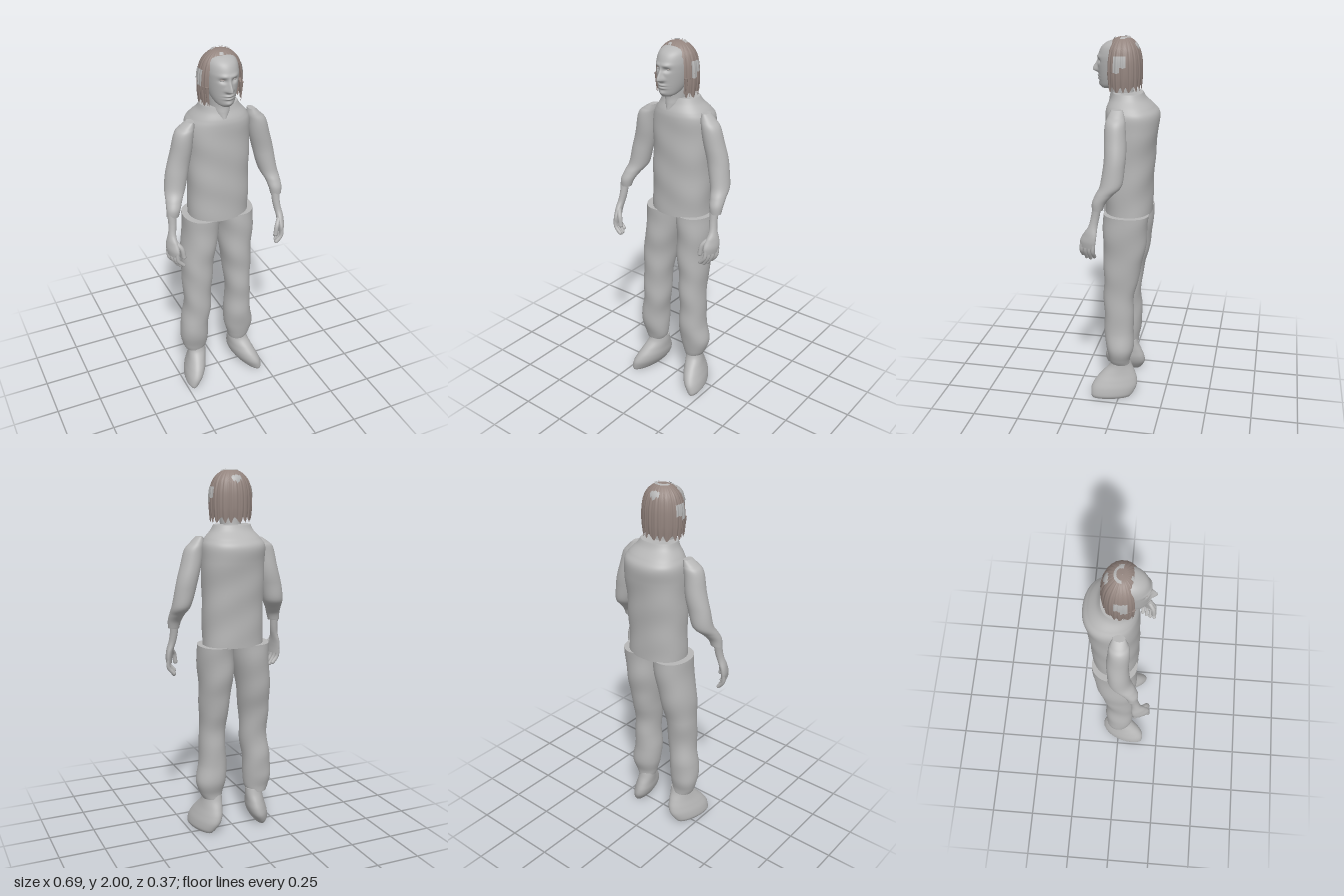
import * as THREE from 'three';
import { ParametricGeometry } from 'three/addons/geometries/ParametricGeometry.js';
import { mergeGeometries } from 'three/addons/utils/BufferGeometryUtils.js';

const TAU = Math.PI * 2;
const gauss = (d, w) => Math.exp(-(d * d) / (w * w));

// Catmull-Rom blend along a list of rows
function sample(rows, t) {
  const f = t * (rows.length - 1), i = Math.min(Math.floor(f), rows.length - 2), k = f - i;
  const at = (n) => rows[Math.max(0, Math.min(rows.length - 1, n))];
  const [a, b, c, d] = [at(i - 1), at(i), at(i + 1), at(i + 2)];
  return b.map((q, n) => q + 0.5 * k * (c[n] - a[n] + k * (2 * a[n] - 5 * q + 4 * c[n] - d[n] + k * (3 * (q - c[n]) + d[n] - a[n]))));
}

// Smooth closed form through horizontal sections [y, cx, cz, rx, rz], listed upwards
function loft(rows, { nu = 40, nv = 40, power = 2, shape = null } = {}) {
  const point = (u, v, out, scale = 1) => {
    const [y, cx, cz, rx, rz] = sample(rows, v), a = u * TAU;
    const s = Math.sin(a), c = Math.cos(a), e = 2 / power;
    out.set(cx + scale * rx * Math.sign(s) * Math.abs(s) ** e, y, cz + scale * rz * Math.sign(c) * Math.abs(c) ** e);
    if (shape) shape(out, a);
  };
  return mergeGeometries([
    new ParametricGeometry((u, v, o) => point(u, v, o), nu, nv),
    new ParametricGeometry((u, v, o) => point(u, 1, o, 1 - 0.99 * v), nu, 2),
    new ParametricGeometry((u, v, o) => point(u, 0, o, 0.01 + 0.99 * v), nu, 2),
  ]);
}

// Shallow folds in cloth
const folds = (amp) => (p) => {
  p.z += amp * Math.sin(p.y * 31 + p.x * 14);
  p.x += amp * Math.sin(p.y * 27 + p.z * 11);
};

// Brow, eye sockets, nose, lips and chin pushed out of the front of the head
function face(p, a) {
  const front = Math.max(0, Math.cos(a)), x = Math.abs(p.x);
  const nose = p.y > 1.828 ? gauss(p.y - 1.828, 0.038) : gauss(p.y - 1.828, 0.01);
  const w = 0.009 + 0.008 * gauss(p.y - 1.828, 0.02);
  p.z += front * (0.032 * nose * gauss(x, w)
    - 0.014 * gauss(x - 0.03, 0.016) * gauss(p.y - 1.877, 0.011)
    + 0.006 * gauss(x - 0.028, 0.025) * gauss(p.y - 1.9, 0.01)
    + 0.008 * gauss(x, 0.024) * (gauss(p.y - 1.8, 0.006) + gauss(p.y - 1.785, 0.006))
    + 0.008 * gauss(x, 0.02) * gauss(p.y - 1.758, 0.012));
}

// Hair profile rows: [radius scale, y], crown to hem
const HAIR = [[0.01, 2.0], [0.35, 1.994], [0.62, 1.975], [0.83, 1.945], [0.95, 1.905], [1, 1.86], [1, 1.8], [0.95, 1.745]];
function hairPoint(angle, v, out, lift = 0) {
  const [s, y] = sample(HAIR, v);
  const strand = 1 + 0.012 * Math.sin(angle * 23) + 0.008 * Math.sin(angle * 41 + 1);
  const hem = v ** 6 * 0.014 * Math.sin(angle * 17 + Math.sin(angle * 7));
  const r = s * strand + lift / 0.11;
  out.set(0.006 + 0.115 * r * Math.sin(angle), y + hem + lift * (1 - s) * 2, 0.006 + 0.098 * r * Math.cos(angle));
}
// Hair is open over the face; the parting widens below the hairline
const opening = (v) => 0.85 * THREE.MathUtils.smoothstep(v, 0.29, 0.5);

const ARMS = {
  left: [[1.17, 0.304, 0.082, 0.03, 0.028], [1.21, 0.302, 0.075, 0.036, 0.036], [1.25, 0.297, 0.05, 0.041, 0.045],
    [1.3, 0.285, 0.015, 0.05, 0.056], [1.4, 0.262, 0.003, 0.056, 0.055], [1.5, 0.236, 0.004, 0.056, 0.056],
    [1.59, 0.217, 0.006, 0.05, 0.052], [1.63, 0.196, 0.006, 0.036, 0.042], [1.66, 0.182, 0.006, 0.018, 0.03]],
  right: [[1.17, -0.295, 0.082, 0.032, 0.028], [1.21, -0.287, 0.075, 0.038, 0.036], [1.25, -0.272, 0.05, 0.045, 0.045],
    [1.3, -0.25, 0.015, 0.056, 0.056], [1.4, -0.23, 0.003, 0.06, 0.055], [1.5, -0.207, 0.004, 0.056, 0.056],
    [1.59, -0.19, 0.006, 0.05, 0.052], [1.62, -0.174, 0.006, 0.038, 0.042], [1.645, -0.156, 0.006, 0.018, 0.03]],
};
const LEGS = {
  left: [[0.195, 0.125, 0, 0.052, 0.054], [0.23, 0.128, 0.004, 0.066, 0.06], [0.3, 0.126, 0.004, 0.084, 0.076],
    [0.4, 0.118, 0.008, 0.077, 0.082], [0.5, 0.116, 0.01, 0.071, 0.081], [0.6, 0.116, 0.01, 0.07, 0.084],
    [0.7, 0.112, 0, 0.076, 0.093], [0.8, 0.108, -0.01, 0.083, 0.105], [0.92, 0.108, -0.02, 0.092, 0.116], [1.085, 0.108, -0.027, 0.098, 0.122]],
  right: [[0.195, -0.15, 0, 0.056, 0.054], [0.23, -0.152, 0.004, 0.07, 0.06], [0.3, -0.158, 0.004, 0.08, 0.076],
    [0.4, -0.15, 0.008, 0.078, 0.082], [0.5, -0.138, 0.01, 0.077, 0.081], [0.6, -0.133, 0.01, 0.078, 0.084],
    [0.7, -0.13, 0, 0.083, 0.093], [0.8, -0.125, -0.01, 0.09, 0.105], [0.92, -0.106, -0.02, 0.094, 0.116], [1.085, -0.09, -0.027, 0.1, 0.122]],
};

export function createModel() {
  const grey = new THREE.MeshStandardMaterial({ color: 0xb6b6b6, name: 'grey', side: THREE.DoubleSide });
  const brown = new THREE.MeshStandardMaterial({ color: 0x94857f, name: 'hairBrown', side: THREE.DoubleSide });
  const model = new THREE.Group();
  model.name = 'standingFigure';
  const add = (name, geometry, material = grey, parent = model) => {
    const mesh = new THREE.Mesh(geometry, material);
    mesh.name = name;
    parent.add(mesh);
    return mesh;
  };

  // Shirt body
  add('torso', loft([[1.08, 0.01, -0.028, 0.166, 0.127], [1.2, 0.01, -0.028, 0.166, 0.127], [1.4, 0.012, -0.035, 0.167, 0.131],
    [1.53, 0.013, -0.042, 0.17, 0.136], [1.61, 0.014, -0.046, 0.168, 0.138], [1.65, 0.014, -0.037, 0.148, 0.122],
    [1.69, 0.01, -0.025, 0.115, 0.092], [1.72, 0.007, -0.02, 0.1, 0.078]], { nu: 64, nv: 60, power: 2.25, shape: folds(0.0018) }));

  // Neck and head
  add('neck', loft([[1.66, 0, 0.02, 0.03, 0.065], [1.69, 0.002, 0.014, 0.05, 0.065], [1.73, 0.002, 0.014, 0.056, 0.06], [1.8, 0.002, 0.02, 0.058, 0.065]]));
  add('head', loft([[1.738, 0.002, 0.09, 0.026, 0.026], [1.752, 0.002, 0.07, 0.046, 0.056], [1.78, 0.002, 0.047, 0.061, 0.085],
    [1.82, 0.003, 0.036, 0.071, 0.1], [1.87, 0.004, 0.031, 0.078, 0.108], [1.91, 0.004, 0.027, 0.081, 0.108],
    [1.95, 0.004, 0.021, 0.075, 0.096], [1.975, 0.004, 0.014, 0.056, 0.068], [1.988, 0.004, 0.01, 0.02, 0.025]],
  { nu: 128, nv: 100, shape: face }));
  for (const side of [-1, 1]) {
    const eye = add('eye', new THREE.SphereGeometry(0.01, 16, 12));
    eye.position.set(0.002 + side * 0.03, 1.877, 0.113);
    eye.scale.set(1.2, 0.6, 1);
    const lash = add('eyelash', new THREE.BoxGeometry(0.024, 0.003, 0.006), brown);
    lash.position.set(0.002 + side * 0.03, 1.884, 0.121);
    lash.rotation.y = side * 0.3;
    const ear = add('ear', new THREE.SphereGeometry(0.03, 16, 12));
    ear.position.set(0.004 + side * 0.085, 1.865, 0.01);
    ear.scale.set(0.4, 1.1, 0.75);
  }

  // Hair shell with bare patches over the ears and on the crown
  add('hair', new ParametricGeometry((u, v, out) => {
    const w = 1 - v, gap = opening(w);
    hairPoint(gap + u * (TAU - 2 * gap), w, out);
  }, 120, 48), brown);
  const patch = (name, a0, a1, v0, v1) => add(name, new ParametricGeometry((u, v, out) =>
    hairPoint(a0 + u * (a1 - a0), v1 + v * (v0 - v1), out, 0.003), 20, 10));
  for (const side of [-1, 1]) {
    const at = side * Math.PI / 2;
    patch('sidePatch', at - 0.33, at + 0.33, 0.54, 0.72);
    patch('sidePatchCorner', at + (side > 0 ? -0.33 : 0), at + (side > 0 ? 0 : 0.33), 0.72, 0.78);
  }
  patch('crownPatch', 1.9, 4.7, 0.1, 0.15);
  patch('crownPatchEnd', 1.4, 2.0, 0.09, 0.18);
  patch('crownPatchFront', 5.9, 6.25, 0.17, 0.24);

  // Hair locks hanging beside the jaw
  for (const side of [-1, 1]) for (let i = 0; i < 3; i++) {
    const lock = add('hairLock', new THREE.ConeGeometry(0.011, 0.1, 8), brown);
    lock.position.set(0.006 + side * (0.092 + 0.006 * i), 1.785, 0.062 - i * 0.02);
    lock.rotation.x = Math.PI;
  }

  for (const [name, s] of [['left', 1], ['right', -1]]) {
    // Sleeve and trouser leg
    add(name + 'Sleeve', loft(ARMS[name], { nv: 50, shape: folds(0.0015) }));
    add(name + 'TrouserLeg', loft(LEGS[name], { nv: 60, power: 2.15, shape: folds(0.0025) }));

    // Shoe, toed outwards and leaning to the outer edge
    const dx = s > 0 ? 0 : -0.012;
    add(name + 'Shoe', loft([[0, 0.176, 0.045, 0.036, 0.105], [0.02, 0.172, 0.04, 0.05, 0.116], [0.06, 0.158, 0.031, 0.06, 0.125],
      [0.1, 0.146, 0.022, 0.06, 0.114], [0.14, 0.138, 0.012, 0.055, 0.09], [0.18, 0.132, 0.002, 0.052, 0.062], [0.215, 0.13, 0, 0.05, 0.05]]
      .map(([y, x, ...r]) => [y, s * x + dx, ...r]), {
      shape: (p) => { p.x += s * 0.22 * (p.z - 0.03); },
    }));

    // Forearm and hand
    const hand = new THREE.Group();
    hand.name = name + 'Hand';
    hand.scale.x = s;
    model.add(hand);
    add('palm', loft([[0.965, 0.322, 0.135, 0.016, 0.04], [1.0, 0.322, 0.132, 0.02, 0.044], [1.04, 0.316, 0.12, 0.021, 0.036],
      [1.08, 0.309, 0.106, 0.02, 0.024], [1.13, 0.302, 0.095, 0.021, 0.022], [1.19, 0.3, 0.085, 0.024, 0.023]], {
      shape: (p) => { p.x -= 0.35 * (p.z - 0.12) * THREE.MathUtils.smoothstep(1.1 - p.y, 0, 0.08); },
    }), grey, hand);
    const finger = (label, points, r) => {
      const path = new THREE.CatmullRomCurve3(points.map((p) => new THREE.Vector3(...p)));
      add(label, new THREE.TubeGeometry(path, 12, r, 10), grey, hand);
      add(label + 'Tip', new THREE.SphereGeometry(r, 10, 8), grey, hand).position.copy(path.getPoint(1));
    };
    for (let i = 0; i < 4; i++) {
      const x = 0.334 - 0.009 * i, z = 0.1 + 0.022 * i, tip = 0.91 - 0.012 * Math.sin(i * 1.1);
      finger('finger', [[x, 0.99, z], [x - 0.004, 0.945, z + 0.004], [x - 0.032, tip, z + 0.003]], 0.0105);
    }
    finger('thumb', [[0.308, 1.045, 0.132], [0.28, 1.01, 0.16], [0.27, 0.96, 0.166]], 0.0125);
  }
  return model;
}
